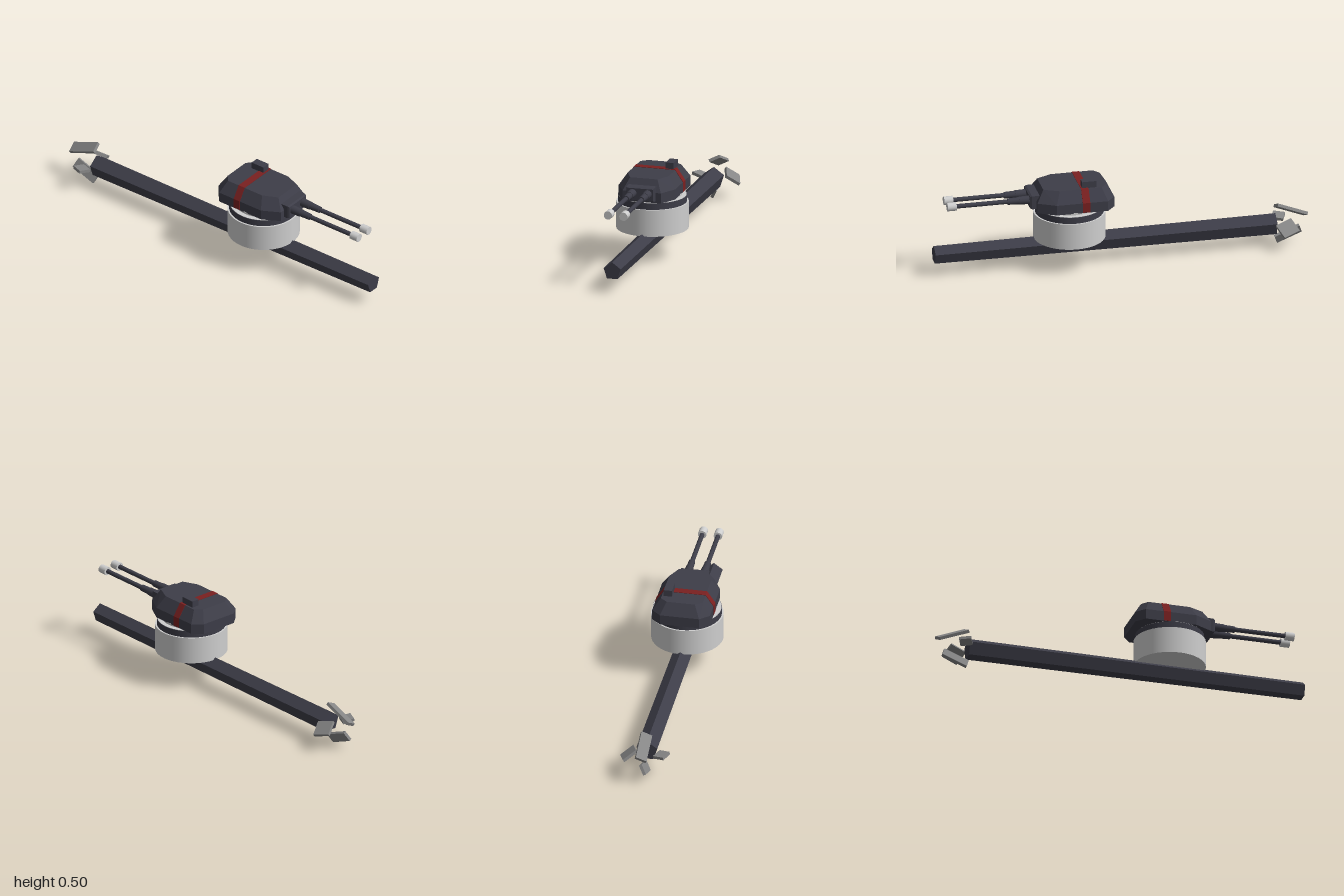
import * as THREE from 'three';
import { ConvexGeometry } from 'three/addons/geometries/ConvexGeometry.js';

const mat = (name, color) => {
  const m = new THREE.MeshStandardMaterial({ color });
  m.name = name;
  return m;
};

export function createModel() {
  const dark = mat('dark slate', 0x3d3d48);
  const light = mat('light grey', 0xcecece);
  const grey = mat('mid grey', 0x868686);
  const red = mat('dark red', 0x7a2020);

  const model = new THREE.Group();
  model.name = 'turretOnBeam';
  const add = (name, geometry, material, x = 0, y = 0, z = 0) => {
    const mesh = new THREE.Mesh(geometry, material);
    mesh.name = name;
    mesh.position.set(x, y, z);
    model.add(mesh);
    return mesh;
  };
  const hull = (pts) => new ConvexGeometry(pts.map((p) => new THREE.Vector3(...p)));
  const cx = 0.274; // turret axis

  // Five-sided tapered beam, one ridge up
  let beam = new THREE.CylinderGeometry(0.049, 0.058, 1.83, 5, 1, false, -Math.PI / 2);
  beam = beam.rotateZ(-Math.PI / 2).toNonIndexed();
  beam.computeVertexNormals();
  add('beam', beam, dark, 0.085, 0.12, 0);

  // Round pedestal, from the bottom up: radius, bottom, top
  const drum = (name, r, y0, y1, m) =>
    add(name, new THREE.CylinderGeometry(r, r, y1 - y0, 40), m, cx, (y0 + y1) / 2, 0);
  drum('pedestal', 0.19, 0.161, 0.305, light);
  drum('pedestalCollar', 0.181, 0.305, 0.34, dark);
  drum('collarCap', 0.179, 0.34, 0.342, light);
  drum('turretRing', 0.155, 0.342, 0.354, light);

  // Octagonal turret: straight lower wall, sloping upper wall
  const octagon = (y, xBack, xBackSide, xFrontSide, xFront, zEnd, zSide) =>
    [1, -1].flatMap((s) => [
      [xBack, y, s * zEnd], [xBackSide, y, s * zSide],
      [xFrontSide, y, s * zSide], [xFront, y, s * zEnd],
    ]);
  add('turret', hull([
    ...octagon(0.35, 0.056, 0.1, 0.375, 0.468, 0.104, 0.154),
    ...octagon(0.405, 0.056, 0.1, 0.375, 0.468, 0.104, 0.154),
    ...octagon(0.468, 0.095, 0.125, 0.35, 0.43, 0.075, 0.112),
  ]), dark);

  // Painted band over the turret
  add('turretBand', hull([0.196, 0.236].flatMap((x) => [1, -1].flatMap((s) => [
    [x, 0.352, s * 0.156], [x, 0.406, s * 0.156], [x, 0.47, s * 0.113],
  ]))), red);

  // Roof hatch box
  add('roofHatch', new THREE.BoxGeometry(0.078, 0.036, 0.044), dark, 0.189, 0.485, -0.08);

  // Gun mantlet with a bevelled face
  const face = (x, h, w) => [1, -1].flatMap((a) => [1, -1].map((b) => [x, 0.399 + a * h, b * w]));
  add('mantlet', hull([
    ...face(0.4, 0.037, 0.076), ...face(0.49, 0.037, 0.076), ...face(0.5, 0.032, 0.071),
  ]), dark);

  // Twin guns: each piece runs from x0 to x1 with its end radii
  const rod = (name, x0, x1, r0, r1, m, z) => add(name,
    new THREE.CylinderGeometry(r1, r0, x1 - x0, 20).rotateZ(-Math.PI / 2), m, (x0 + x1) / 2, 0.404, z);
  for (const z of [0.042, -0.042]) {
    rod('gunSleeve', 0.495, 0.555, 0.023, 0.021, dark, z);
    rod('gunSleeveFront', 0.555, 0.615, 0.019, 0.017, dark, z);
    rod('gunBarrel', 0.61, 0.895, 0.012, 0.012, dark, z);
    rod('muzzle', 0.89, 0.938, 0.0225, 0.0225, light, z);
  }

  // Loose tail plates: centre, length vector, width vector
  const plates = [
    ['tailPlateTop', [-0.912, 0.192, -0.002], [0.16, 0.063, 0], [0, -0.03, 0.054]],
    ['tailPlateBack', [-0.877, 0.122, -0.087], [0.086, -0.022, -0.03], [0.02, 0.05, 0.067]],
    ['tailPlateFront', [-0.863, 0.123, 0.084], [0.059, 0.004, 0.024], [-0.027, 0.01, 0.056]],
    ['tailPlateBottom', [-0.897, 0.056, 0.002], [0.132, -0.052, 0], [-0.024, -0.044, 0.026]],
  ];
  for (const [name, c, l, w] of plates) {
    const L = new THREE.Vector3(...l), W = new THREE.Vector3(...w);
    const box = new THREE.BoxGeometry(L.length(), 0.016, W.length());
    const X = L.clone().normalize();
    const Y = W.clone().cross(L).normalize();
    const Z = X.clone().cross(Y);
    const plate = add(name, box, grey, ...c);
    plate.quaternion.setFromRotationMatrix(new THREE.Matrix4().makeBasis(X, Y, Z));
  }
  return model;
}
